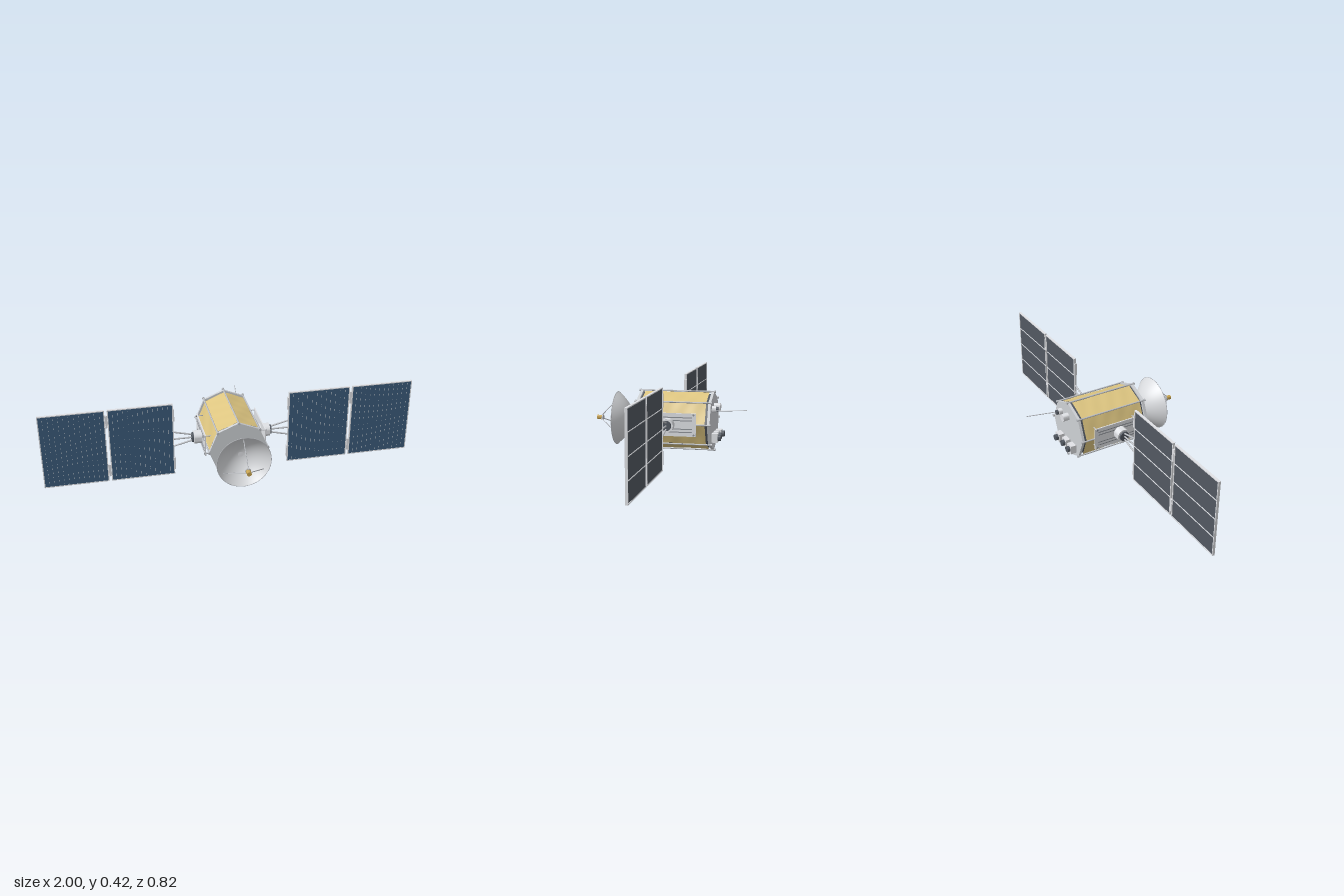
import * as THREE from 'three';
import { mergeGeometries, toCreasedNormals } from 'three/addons/utils/BufferGeometryUtils.js';

const paint = (name, color, side = THREE.FrontSide) => {
  const m = new THREE.MeshStandardMaterial({ color, side });
  m.name = name;
  return m;
};

export function createModel() {
  const light = paint('light grey', 0xe0e2e6);
  const plate = paint('plate grey', 0xced1d5);
  const mid = paint('rod grey', 0xbcbfc4);
  const slot = paint('slot grey', 0x8f9399);
  const dark = paint('dark grey', 0x525861);
  const gold = paint('gold foil', 0xdec681);
  const blue = paint('solar blue', 0x3a5a79);
  const dishGrey = paint('dish grey', 0xd8dadd, THREE.DoubleSide);
  const brass = paint('brass', 0xc9a552);

  const model = new THREE.Group();
  const craft = new THREE.Group();
  craft.name = 'spacecraft';
  craft.position.y = 0.21;
  model.add(craft);

  const add = (parent, name, geo, mat, x = 0, y = 0, z = 0) => {
    const m = new THREE.Mesh(geo, mat);
    m.name = name;
    m.position.set(x, y, z);
    parent.add(m);
    return m;
  };
  const box = (w, h, d, x = 0, y = 0, z = 0) => new THREE.BoxGeometry(w, h, d).translate(x, y, z);
  // Cylinder along z, and the same along x
  const drumZ = (r, len, sides = 24) => toCreasedNormals(
    new THREE.CylinderGeometry(r, r, len, sides).rotateX(Math.PI / 2), 0.6);
  const drumX = (r, len) => drumZ(r, len).rotateY(Math.PI / 2);
  // Thin rod between two points
  const rod = (parent, name, a, b, r, mat) => {
    const p = new THREE.Vector3(...a), q = new THREE.Vector3(...b);
    const m = add(parent, name, new THREE.CylinderGeometry(r, r, p.distanceTo(q), 8), mat);
    m.position.copy(p).add(q).multiplyScalar(0.5);
    m.quaternion.setFromUnitVectors(new THREE.Vector3(0, 1, 0), q.sub(p).normalize());
  };

  // Octagonal body with end plates
  add(craft, 'bodyCore', drumZ(0.143, 0.37, 8), dark, 0, 0, -0.028);
  add(craft, 'frontPlate', drumZ(0.155, 0.015, 8), plate, 0, 0, 0.162);
  add(craft, 'backPlate', drumZ(0.155, 0.014, 8), plate, 0, 0, -0.219);

  for (let k = 0; k < 8; k++) {
    // Slightly crumpled foil panel on each face
    const foil = new THREE.PlaneGeometry(0.345, 0.114, 30, 10);
    const p = foil.attributes.position;
    for (let i = 0; i < p.count; i++) {
      const u = p.getX(i), v = p.getY(i);
      p.setZ(i, 0.0011 * Math.sin(28 * u + 45 * v + k * 2) + 0.0005 * Math.sin(75 * u - 30 * v + k));
    }
    foil.computeVertexNormals();
    foil.rotateY(Math.PI / 2).translate(0.1385, 0, -0.0275).rotateZ(Math.PI / 8 + k * Math.PI / 4);
    add(craft, 'foilPanel', foil, gold);

    // Longeron with end nuts on each corner
    const x = 0.155 * Math.cos(k * Math.PI / 4), y = 0.155 * Math.sin(k * Math.PI / 4);
    add(craft, 'longeron', drumZ(0.0042, 0.405, 12), mid, x, y, -0.028);
    for (const z of [0.172, -0.229]) add(craft, 'longeronNut', drumZ(0.0068, 0.008, 12), mid, x, y, z);
  }

  // Dish antenna with feed and tripod
  add(craft, 'dishNeck', drumZ(0.03, 0.02), plate, 0, 0, 0.175);
  add(craft, 'dishMount', drumZ(0.048, 0.034, 32), light, 0, 0, 0.197);
  const profile = [];
  for (let i = 0; i <= 14; i++) {
    const r = 0.141 * i / 14;
    profile.push(new THREE.Vector2(r, 0.213 + 0.085 * (i / 14) ** 2));
  }
  add(craft, 'dish', new THREE.LatheGeometry(profile, 48).rotateX(Math.PI / 2), dishGrey);
  add(craft, 'dishRim', new THREE.TorusGeometry(0.141, 0.0016, 6, 48), mid, 0, 0, 0.298);
  for (let k = 0; k < 3; k++) {
    const a = Math.PI / 2 + k * Math.PI * 2 / 3, c = Math.cos(a), s = Math.sin(a);
    rod(craft, 'feedStrut', [0.122 * c, 0.122 * s, 0.28], [0.011 * c, 0.011 * s, 0.388], 0.0024, mid);
  }
  add(craft, 'feedCollar', drumZ(0.015, 0.006), mid, 0, 0, 0.382);
  add(craft, 'feedHorn', drumZ(0.012, 0.028), brass, 0, 0, 0.398);

  // Instruments on the back plate
  for (const x of [-0.065, 0, 0.065]) {
    const deep = x === 0 ? 0.026 : 0.031;
    add(craft, 'sensorBox', box(0.042, 0.046, deep), light, x, -0.078, -0.226 - deep / 2);
    add(craft, 'sensorLens', drumZ(0.016, 0.02), dark, x, -0.078, -0.231 - deep);
  }
  add(craft, 'beacon', drumZ(0.02, 0.034), light, 0, 0.075, -0.243);
  add(craft, 'antennaBase', drumZ(0.017, 0.022), light, 0.068, 0.072, -0.237);
  add(craft, 'antennaCap', drumZ(0.013, 0.012), dark, 0.068, 0.072, -0.252);
  rod(craft, 'whipAntenna', [0.08, 0.064, -0.23], [0.104, 0.076, -0.41], 0.0022, mid);

  // Small thrusters under the belly
  for (const x of [-0.02, 0.02])
    add(craft, 'bellyThruster', new THREE.CylinderGeometry(0.012, 0.012, 0.01, 16), dark, x, -0.144, 0.077);

  // One solar panel, centred on its own origin
  const W = 0.338, H = 0.42;
  const buildPanel = () => {
    const panel = new THREE.Group();
    panel.name = 'solarPanel';
    add(panel, 'panelBacking', box(W - 0.008, H - 0.008, 0.007), dark);
    add(panel, 'panelCells', box(W - 0.008, H - 0.008, 0.002), blue, 0, 0, 0.0042);
    const frame = [];
    for (const s of [-1, 1]) {
      frame.push(box(0.005, H, 0.013, s * (W / 2 - 0.0025), 0, 0));
      frame.push(box(W, 0.005, 0.013, 0, s * (H / 2 - 0.0025), 0));
    }
    for (const y of [-0.105, 0, 0.105]) frame.push(box(W - 0.01, 0.004, 0.003, 0, y, -0.0045));
    add(panel, 'panelFrame', mergeGeometries(frame), light);
    // Fine gaps between the cell columns
    const gaps = [];
    for (let i = 1; i < 13; i++)
      for (let j = 0; j < 9; j++)
        gaps.push(box(0.0008, 0.034, 0.0004, -W / 2 + i * W / 13, (j - 4) * 0.045, 0.0053));
    add(panel, 'cellGaps', mergeGeometries(gaps), light);
    return panel;
  };

  // Radiator, drive hub, arms and panels on both sides
  for (const s of [1, -1]) {
    const wing = new THREE.Group();
    wing.name = s > 0 ? 'leftWing' : 'rightWing';
    wing.position.z = -0.0115;
    craft.add(wing);

    add(wing, 'radiatorPlate', box(0.006, 0.12, 0.252), light, s * 0.16, 0, -0.0195);
    for (const y of [-0.038, -0.022, 0.022, 0.038])
      add(wing, 'radiatorSlot', box(0.003, 0.005, 0.215), slot, s * 0.163, y, -0.0195);
    for (const y of [-0.052, 0.052]) for (const z of [0.0945, -0.1335]) {
      add(wing, 'radiatorPost', drumX(0.0028, 0.036), mid, s * 0.142, y, z);
      add(wing, 'radiatorBolt', drumX(0.005, 0.005), slot, s * 0.164, y, z);
    }

    add(wing, 'driveHub', drumX(0.035, 0.055), light, s * 0.178, 0, 0);
    add(wing, 'driveShaft', drumX(0.026, 0.012), dark, s * 0.209, 0, 0);
    for (const y of [-1, 0, 1])
      rod(wing, 'panelArm', [s * 0.2, y * 0.014, 0], [s * 0.316, y * 0.043, 0], 0.0045, mid);

    for (const x of [0.479, 0.831]) {
      const panel = buildPanel();
      panel.position.x = s * x;
      wing.add(panel);
    }
    for (const x of [0.31, 0.655]) for (const y of [-0.145, 0.145])
      add(wing, 'panelHinge', box(0.011, 0.07, 0.016), light, s * x, y, 0);
  }
  return model;
}
